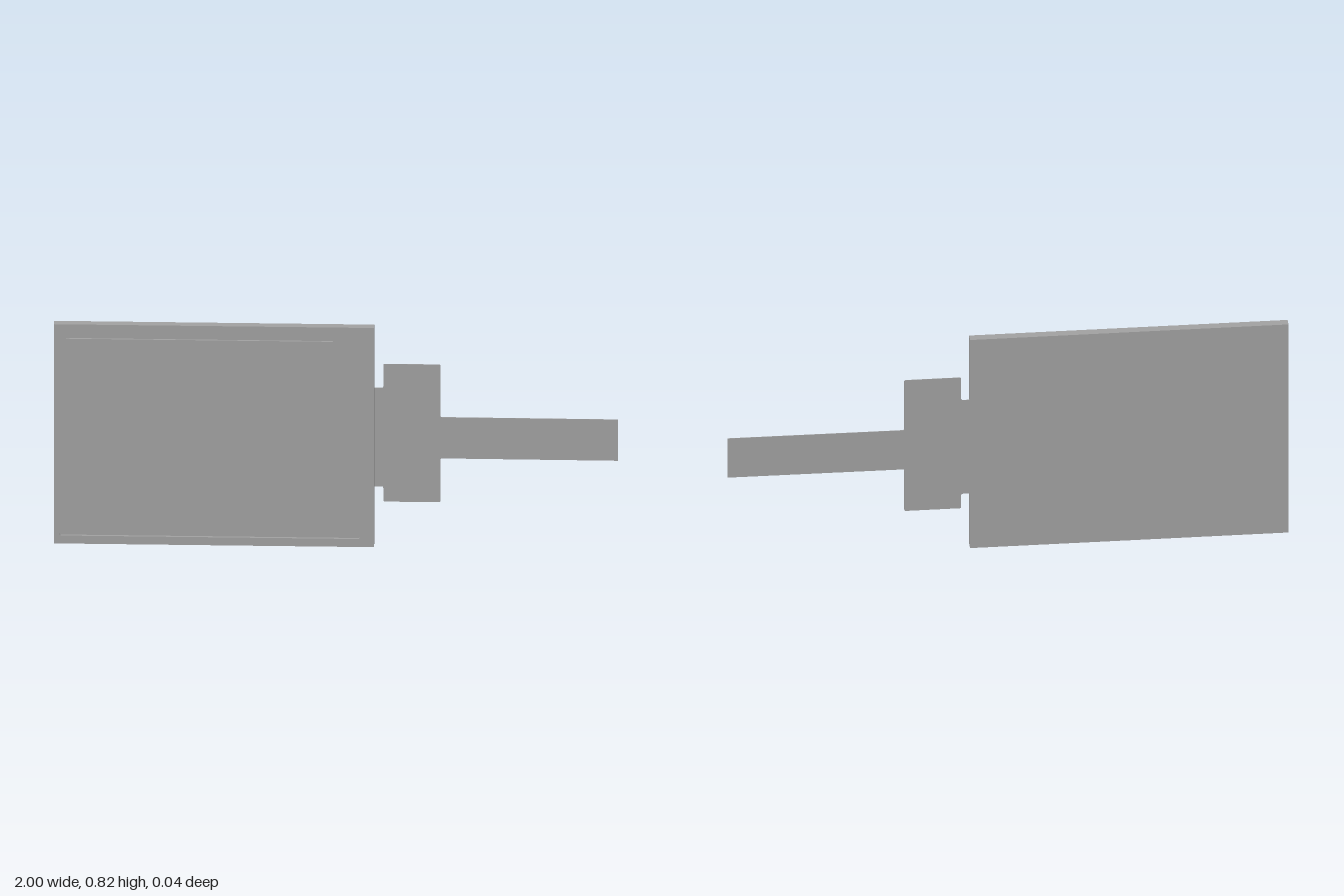
import * as THREE from 'three';

const BACK = -0.018, FLOOR = 0.007, FRONT = 0.018;

// Rounded rectangle traced into a Shape or Path
function roundedRect(path, x0, y0, x1, y1, r) {
  path.moveTo(x0 + r, y0);
  path.lineTo(x1 - r, y0);
  path.quadraticCurveTo(x1, y0, x1, y0 + r);
  path.lineTo(x1, y1 - r);
  path.quadraticCurveTo(x1, y1, x1 - r, y1);
  path.lineTo(x0 + r, y1);
  path.quadraticCurveTo(x0, y1, x0, y1 - r);
  path.lineTo(x0, y0 + r);
  path.quadraticCurveTo(x0, y0, x0 + r, y0);
  return path;
}

// Outline from corner points, each corner rounded by its radius
function roundedOutline(points) {
  const shape = new THREE.Shape();
  const n = points.length;
  points.forEach(([x, y, r], i) => {
    const p = new THREE.Vector2(x, y);
    const toward = ([qx, qy]) =>
      new THREE.Vector2(qx, qy).sub(p).setLength(r).add(p);
    const a = toward(points[(i + n - 1) % n]);
    const b = toward(points[(i + 1) % n]);
    if (i === 0) shape.moveTo(a.x, a.y);
    else shape.lineTo(a.x, a.y);
    if (r > 0) shape.quadraticCurveTo(x, y, b.x, b.y);
  });
  shape.closePath();
  return shape;
}

function slab(shape, z0, z1) {
  const geometry = new THREE.ExtrudeGeometry(shape, {
    depth: z1 - z0, bevelEnabled: false, curveSegments: 5,
  });
  return geometry.translate(0, 0, z0);
}

export function createModel() {
  const group = new THREE.Group();
  const grey = new THREE.MeshStandardMaterial({ color: 0xa0a0a0 });
  grey.name = 'plain grey';
  const add = (name, geometry) => {
    const mesh = new THREE.Mesh(geometry, grey);
    mesh.name = name;
    group.add(mesh);
  };

  // Back plate, forming the floor of the front recess
  const plate = new THREE.BoxGeometry(1.135, 0.825, FLOOR - BACK);
  plate.translate(-0.4325, 0.4125, (FLOOR + BACK) / 2);
  add('backPlate', plate);

  // Raised frame around the recess
  const frame = roundedRect(new THREE.Shape(), -1, 0, 0.135, 0.825, 0);
  frame.holes.push(roundedRect(new THREE.Path(), -0.98, 0.03, 0.085, 0.795, 0.008));
  add('frontFrame', slab(frame, FLOOR, FRONT));

  // Screen panel standing inside the recess
  const panel = roundedRect(new THREE.Shape(), -0.955, 0.06, -0.01, 0.77, 0.002);
  add('screenPanel', slab(panel, FLOOR, 0.015));

  // Flat cable: neck, wide section and tail
  const r = 0.006;
  const cable = slab(roundedOutline([
    [0.135, 0.217, 0], [0.167, 0.217, r], [0.167, 0.16, r], [0.37, 0.16, r],
    [0.37, 0.325, r], [1, 0.325, 0], [1, 0.48, 0], [0.37, 0.48, r],
    [0.37, 0.678, r], [0.167, 0.678, r], [0.167, 0.588, r], [0.135, 0.588, 0],
  ]), BACK, BACK + 0.002);

  // The tail drifts slightly forward toward its end
  const pos = cable.attributes.position;
  for (let i = 0; i < pos.count; i++) {
    const t = Math.max(0, (pos.getX(i) - 0.38) / 0.62);
    pos.setZ(i, pos.getZ(i) + 0.003 * t);
  }
  cable.computeVertexNormals();
  add('ribbonCable', cable);

  return group;
}
